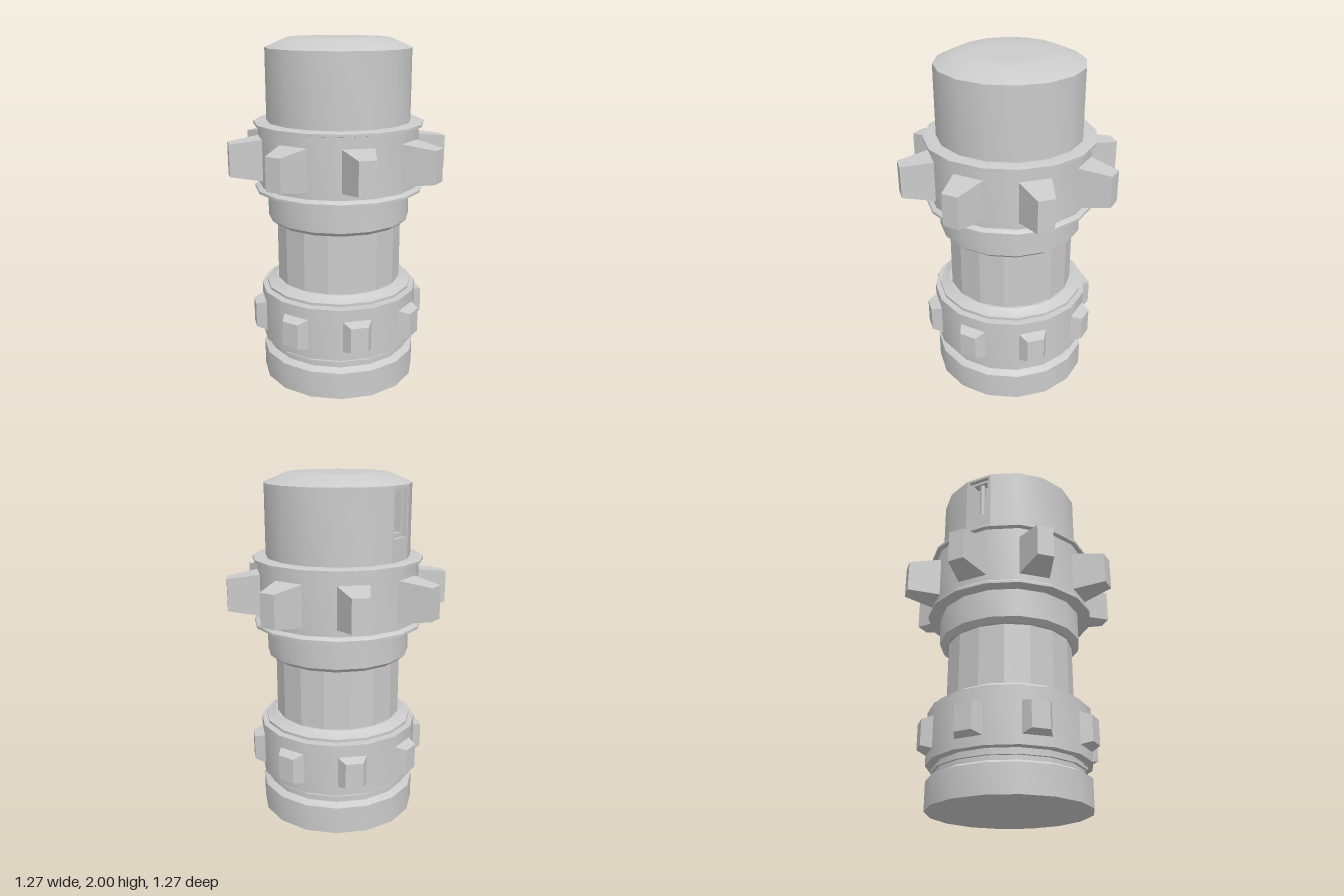
import * as THREE from 'three';
import { toCreasedNormals } from 'three/addons/utils/BufferGeometryUtils.js';

const SIDES = 16;
const STEP = (Math.PI * 2) / SIDES;

export function createModel() {
  const model = new THREE.Group();
  const grey = new THREE.MeshStandardMaterial({ color: 0xcccccc });
  const flatGrey = new THREE.MeshStandardMaterial({ color: 0xcccccc, flatShading: true });

  function add(name, geometry, parent = model, material = grey) {
    const mesh = new THREE.Mesh(geometry, material);
    mesh.name = name;
    parent.add(mesh);
    return mesh;
  }

  // Turned part from [radius, height] pairs, smooth around, crisp along the profile
  function turned(name, profile, segments = SIDES, start = 0) {
    const points = profile.map(([r, y]) => new THREE.Vector2(r, y));
    const lathe = new THREE.LatheGeometry(points, segments, start, segments * STEP);
    return add(name, toCreasedNormals(lathe, 0.53));
  }

  // Eight tapered studs around the axis
  function studRing(name, y, inner, outer, base, tip) {
    const geometry = new THREE.BoxGeometry(1, 1, 1);
    const p = geometry.attributes.position;
    for (let i = 0; i < p.count; i++) {
      const atTip = p.getZ(i) > 0;
      const [w, h] = atTip ? tip : base;
      p.setXYZ(i, p.getX(i) * w, p.getY(i) * h, atTip ? outer : inner);
    }
    geometry.computeVertexNormals();
    const ring = new THREE.Group();
    ring.name = name + 's';
    for (let i = 0; i < 8; i++) {
      const stud = add(name, geometry, ring);
      stud.position.y = y;
      stud.rotation.y = (2 * i - 0.5) * STEP;
    }
    model.add(ring);
  }

  // Foot and lower collar
  turned('foot', [[0, 0], [0.46, 0], [0.46, 0.16], [0.42, 0.18], [0.42, 0.205],
    [0.435, 0.205], [0.435, 0.222], [0.415, 0.222], [0.415, 0.245]]);
  turned('lowerCollar', [[0.4, 0.245], [0.465, 0.245], [0.465, 0.55], [0.41, 0.55],
    [0.41, 0.56], [0.435, 0.56], [0.435, 0.575], [0.42, 0.578], [0.38, 0.605], [0.34, 0.605]]);
  studRing('lowerStud', 0.39, 0.44, 0.515, [0.18, 0.19], [0.1, 0.145]);

  // Faceted column
  const column = add('column',
    new THREE.CylinderGeometry(0.367, 0.367, 0.38, SIDES, 1, true), model, flatGrey);
  column.position.y = 0.785;
  column.rotation.y = STEP / 2;

  // Upper body and flanged collar
  turned('upperBody', [[0.34, 0.955], [0.385, 0.955], [0.415, 0.98], [0.415, 1.15]]);
  turned('upperCollar', [[0.4, 1.148], [0.49, 1.148], [0.49, 1.162], [0.475, 1.175],
    [0.465, 1.178], [0.465, 1.515], [0.49, 1.52], [0.49, 1.535], [0.47, 1.54], [0.4, 1.54]]);
  studRing('upperStud', 1.335, 0.44, 0.637, [0.185, 0.24], [0.094, 0.185]);

  // Head wall with one facet left open for the slot, and domed cap
  const R = 0.415, wallBottom = 1.53, wallTop = 1.945;
  turned('headWall', [[R, wallBottom], [R, wallTop]], SIDES - 1, 10 * STEP);
  turned('cap', [[R, wallTop], [0.29, 2], [0.16, 2], [0, 2]]);

  // Slotted facet
  const slot = new THREE.Group();
  slot.name = 'slot';
  slot.rotation.y = 9.5 * STEP;
  model.add(slot);

  function rectangle(Type, x, y0, y1) {
    return new Type([[-x, y0], [x, y0], [x, y1], [-x, y1]].map(([a, b]) => new THREE.Vector2(a, b)));
  }
  function frame(name, outer, inner, front, depth) {
    const shape = rectangle(THREE.Shape, ...outer);
    shape.holes.push(rectangle(THREE.Path, ...inner));
    const geometry = new THREE.ExtrudeGeometry(shape, { depth, bevelEnabled: false });
    add(name, geometry, slot).position.z = front - depth;
  }
  const face = R * Math.cos(STEP / 2);
  frame('slotFacet', [R * Math.sin(STEP / 2), wallBottom, wallTop], [0.066, 1.665, 1.93], face, 0.025);
  frame('slotLiner', [0.07, 1.655, 1.935], [0.046, 1.69, 1.915], face - 0.025, 0.05);
  add('slotBack', new THREE.BoxGeometry(0.13, 0.27, 0.01), slot).position.set(0, 1.797, face - 0.078);
  const rod = add('slotRod', new THREE.CylinderGeometry(0.016, 0.016, 0.23, 8), slot);
  rod.position.set(0, 1.8, face - 0.05);

  return model;
}
